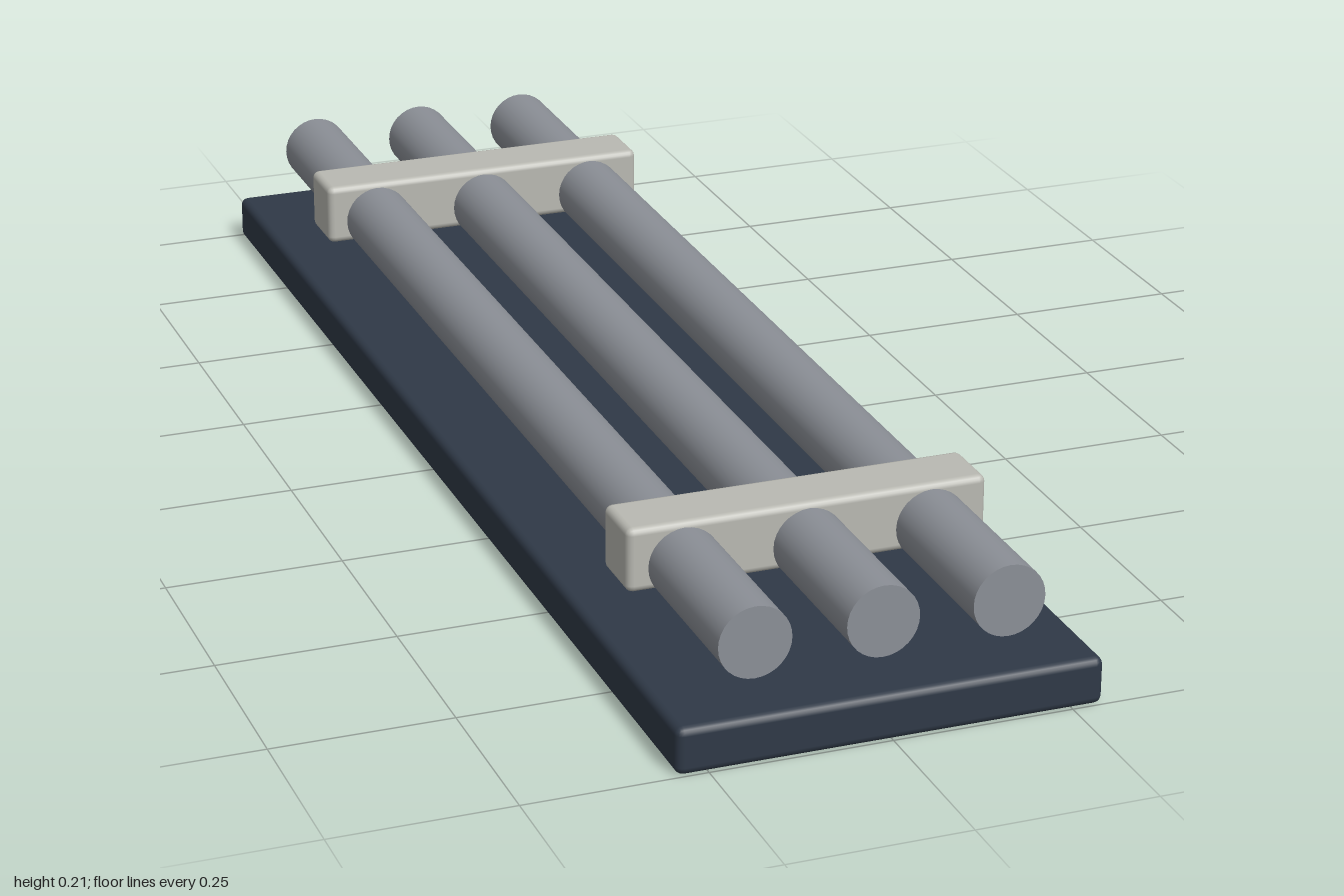
import * as THREE from 'three';
import { RoundedBoxGeometry } from 'three/addons/geometries/RoundedBoxGeometry.js';

const material = (name, color) => {
  const m = new THREE.MeshStandardMaterial({ color });
  m.name = name;
  return m;
};

export function createModel() {
  const group = new THREE.Group();
  const navy = material('dark navy', 0x2f3947);
  const steel = material('steel grey', 0x8b8f96);
  const pale = material('pale grey', 0xb9b9b2);

  const add = (name, geometry, mat, x, y, z) => {
    const mesh = new THREE.Mesh(geometry, mat);
    mesh.name = name;
    mesh.position.set(x, y, z);
    group.add(mesh);
  };

  // Base plate with softened edges
  add('basePlate', new RoundedBoxGeometry(0.586, 0.066, 2, 2, 0.011), navy, 0, 0.033, 0);

  // Three parallel rods floating above the plate
  const rod = new THREE.CylinderGeometry(0.05, 0.05, 1.92, 32).rotateX(Math.PI / 2);
  ['rightRod', 'middleRod', 'leftRod'].forEach((name, i) =>
    add(name, rod, steel, (i - 1) * 0.174, 0.149, 0));

  // Crossbars clamping the rods near each end
  const bar = new RoundedBoxGeometry(0.506, 0.091, 0.091, 2, 0.01);
  add('frontCrossbar', bar, pale, 0, 0.1615, 0.667);
  add('backCrossbar', bar, pale, 0, 0.1615, -0.667);

  return group;
}
